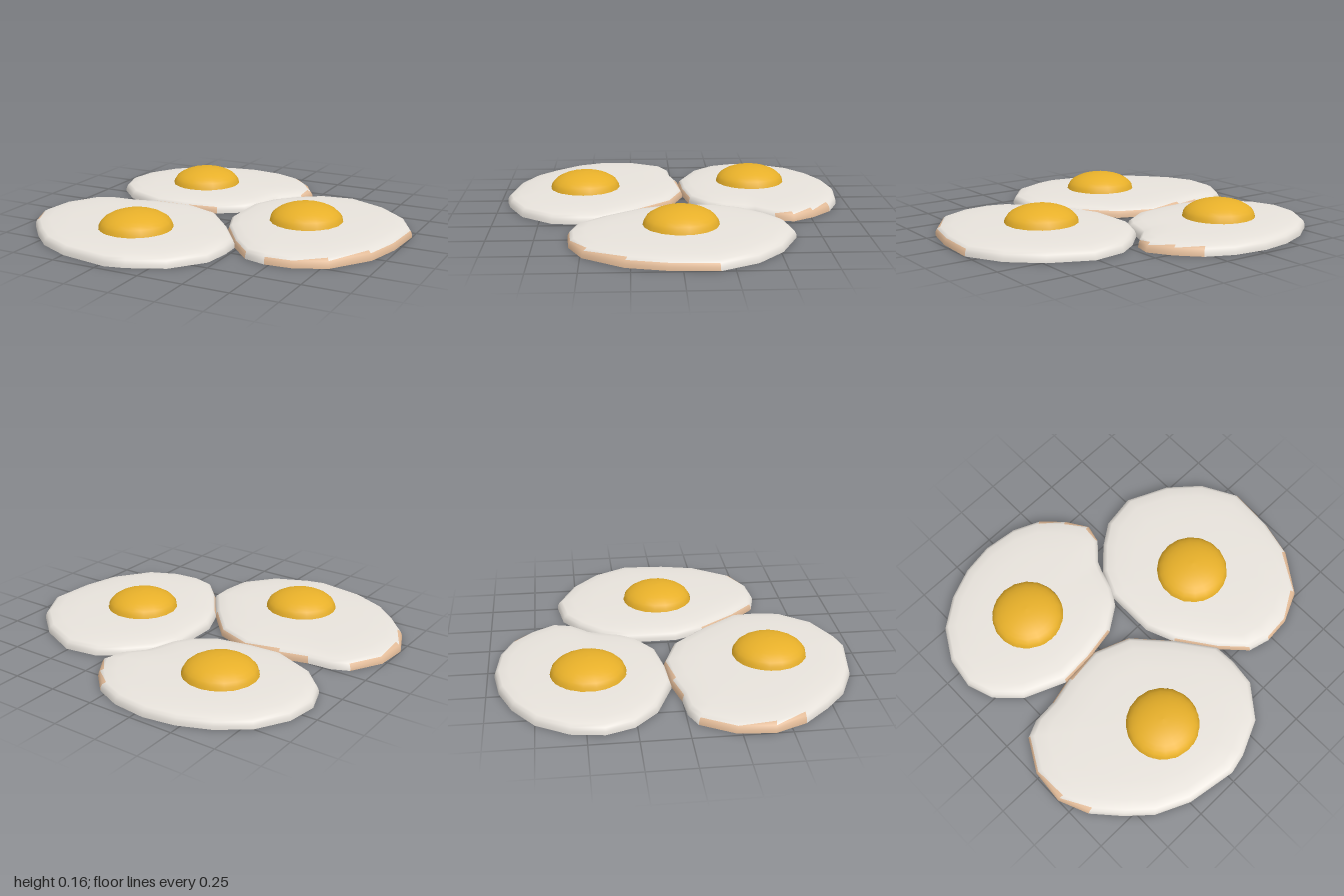
import * as THREE from 'three';

// Open shells, seen from both sides
function flat(name, color) {
  const material = new THREE.MeshStandardMaterial({ color, side: THREE.DoubleSide });
  material.name = name;
  return material;
}
const white = flat('eggWhite', 0xe9e4dd);
const browned = flat('brownedEdge', 0xe2bb98);
const yellow = flat('yolkYellow', 0xf3b92c);

// Each egg: yolk centre [x, z], rim outline (x, z pairs),
// rim segments browned on the side, and those browned over the bevel too
const EGGS = [
  {
    name: 'backEgg', yolk: [-0.415, -0.468],
    rim: [-0.3, -0.962, -0.11, -0.94, 0.04, -0.875, 0.15, -0.765, 0.225, -0.645, 0.2, -0.545,
      0.11, -0.445, 0.085, -0.385, 0.05, -0.265, -0.005, -0.18, -0.14, -0.088, -0.34, -0.052,
      -0.52, -0.042, -0.75, -0.138, -0.875, -0.263, -0.925, -0.408, -0.9, -0.58,
      -0.8, -0.75, -0.645, -0.865, -0.475, -0.935],
    brown: [2, 3, 4, 10, 11], crust: [2, 3, 4],
  },
  {
    name: 'leftEgg', yolk: [0.45, -0.015],
    rim: [0.51, -0.612, 0.735, -0.512, 0.895, -0.372, 1, -0.177, 0.985, 0.073, 0.935, 0.28,
      0.787, 0.49, 0.625, 0.565, 0.475, 0.577, 0.355, 0.545, 0.23, 0.415, 0.085, 0.21,
      0.02, 0.048, 0.02, -0.232, 0.085, -0.377, 0.2, -0.497, 0.32, -0.582],
    brown: [3, 4, 5, 6, 7, 9, 10], crust: [5, 6],
  },
  {
    name: 'frontEgg', yolk: [-0.31, 0.515],
    rim: [-0.29, -0.057, -0.09, 0.018, 0.085, 0.21, 0.23, 0.41, 0.235, 0.53, 0.215, 0.68,
      0.08, 0.85, -0.11, 0.937, -0.22, 0.962, -0.495, 0.917, -0.68, 0.832, -0.805, 0.72,
      -0.93, 0.58, -1, 0.415, -0.985, 0.225, -0.885, 0.05, -0.79, 0.008, -0.66, -0.002,
      -0.5, -0.042],
    brown: [12, 13, 14, 17, 18, 0, 1], crust: [12, 13, 18],
  },
];

const YOLK_RADIUS = 0.206;

// Cross-section of the white from the rim up: [scale of the outline, height]
const SECTION = [[1, 0], [0.998, 0.018], [0.982, 0.037], [0.95, 0.048], [0.85, 0.058],
  [0.65, 0.064]];

function eggWhiteGeometry({ yolk: [cx, cz], rim, brown, crust }) {
  const n = rim.length / 2;
  const positions = [];
  const addRing = (y, scaleAt) => {
    for (let i = 0; i < n; i++) {
      const dx = rim[2 * i] - cx, dz = rim[2 * i + 1] - cz;
      const s = scaleAt(Math.hypot(dx, dz));
      positions.push(cx + dx * s, y, cz + dz * s);
    }
  };
  for (const [s, y] of SECTION) addRing(y, () => s);
  addRing(0.066, (length) => (YOLK_RADIUS - 0.004) / length); // round opening under the yolk

  const plain = [], toasted = [];
  for (let k = 0; k < SECTION.length; k++) {
    for (let i = 0; i < n; i++) {
      const j = (i + 1) % n;
      const a = k * n + i, b = k * n + j, c = a + n, d = b + n;
      // browned fully on the side, ragged (one triangle of two) on the bevel
      const side = k < 2 && brown.includes(i);
      const bevel = k === 2 && crust.includes(i);
      (side || bevel ? toasted : plain).push(a, c, b);
      (side ? toasted : plain).push(b, c, d);
    }
  }
  const geometry = new THREE.BufferGeometry();
  geometry.setAttribute('position', new THREE.Float32BufferAttribute(positions, 3));
  geometry.setIndex([...plain, ...toasted]);
  geometry.addGroup(0, plain.length, 0);
  geometry.addGroup(plain.length, toasted.length, 1);
  geometry.computeVertexNormals();
  return geometry;
}

// Hollow dome with a slightly flared lip
function yolkGeometry() {
  const points = [new THREE.Vector2(YOLK_RADIUS, 0.056)];
  const steps = 8;
  for (let i = 0; i <= steps; i++) {
    const t = (i / steps) * Math.PI / 2;
    points.push(new THREE.Vector2(i === steps ? 0 : 0.201 * Math.cos(t), 0.066 + 0.095 * Math.sin(t)));
  }
  return new THREE.LatheGeometry(points, 18);
}

export function createModel() {
  const model = new THREE.Group();
  model.name = 'friedEggs';
  const yolkShape = yolkGeometry();
  for (const egg of EGGS) {
    const group = new THREE.Group();
    group.name = egg.name;
    const body = new THREE.Mesh(eggWhiteGeometry(egg), [white, browned]);
    body.name = 'eggWhite';
    const yolk = new THREE.Mesh(yolkShape, yellow);
    yolk.name = 'yolk';
    yolk.position.set(egg.yolk[0], 0, egg.yolk[1]);
    group.add(body, yolk);
    model.add(group);
  }
  return model;
}
